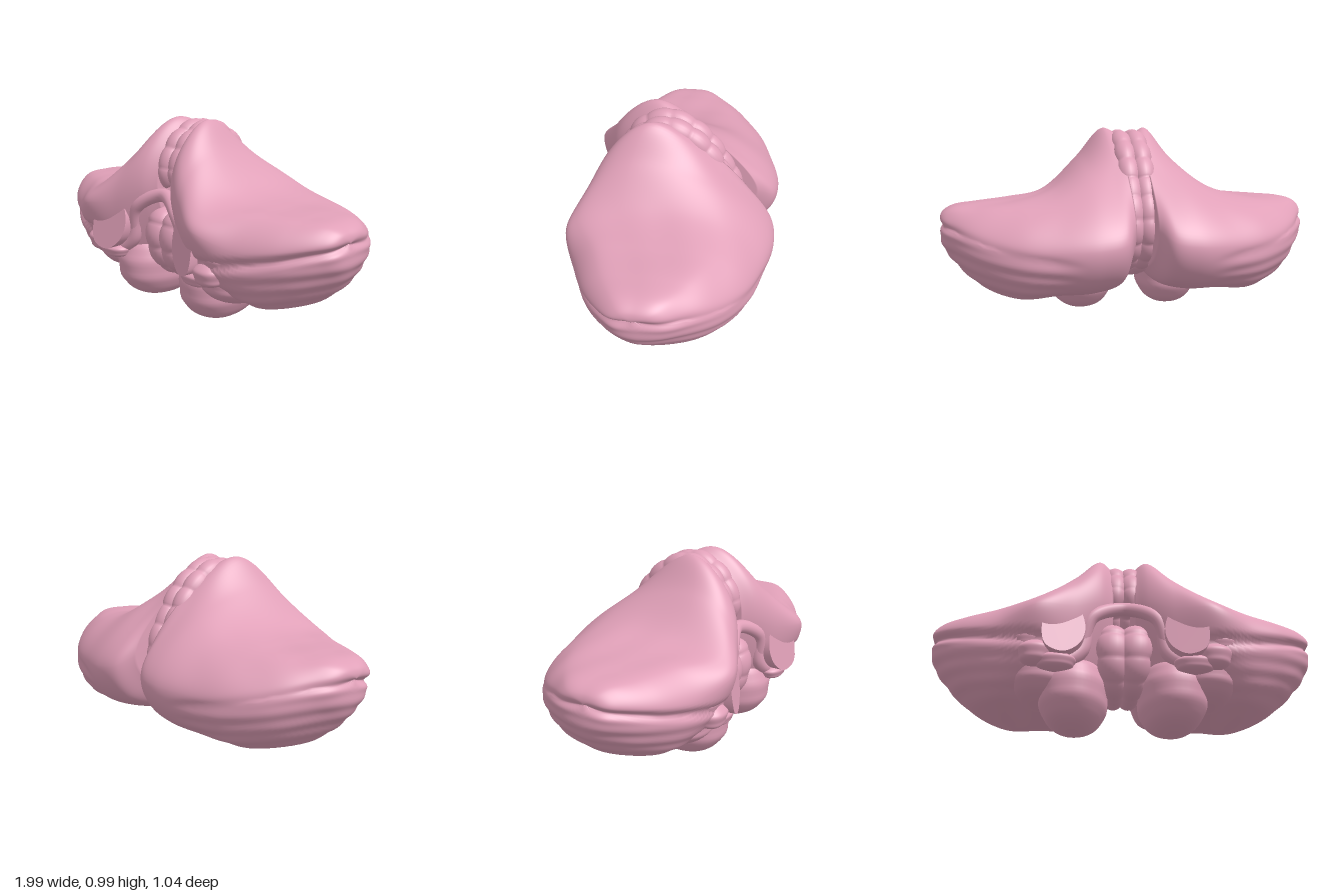
import * as THREE from 'three';
import { mergeVertices, toCreasedNormals } from 'three/addons/utils/BufferGeometryUtils.js';

const V = (x, y, z) => new THREE.Vector3(x, y, z);
const { smoothstep } = THREE.MathUtils;
const pink = new THREE.MeshStandardMaterial({ color: 0xe0a0b8 });

// Cross-sections of one hemisphere: x, then (z, y) pairs running
// top, upper back, back, lower back, bottom, lower front, front, upper front
const SECTIONS = [
  [0.055, 0.08, 0.97, -0.18, 0.81, -0.41, 0.52, -0.33, 0.36, -0.05, 0.25, 0.16, 0.28, 0.32, 0.64, 0.26, 0.84],
  [0.12, 0.13, 0.995, -0.20, 0.78, -0.505, 0.46, -0.42, 0.27, -0.08, 0.18, 0.20, 0.24, 0.38, 0.62, 0.32, 0.85],
  [0.25, 0.20, 0.84, -0.24, 0.725, -0.525, 0.44, -0.45, 0.25, -0.10, 0.14, 0.30, 0.20, 0.45, 0.56, 0.40, 0.73],
  [0.43, 0.20, 0.67, -0.26, 0.645, -0.49, 0.43, -0.41, 0.23, -0.05, 0.14, 0.36, 0.24, 0.515, 0.535, 0.45, 0.61],
  [0.62, 0.12, 0.625, -0.26, 0.60, -0.43, 0.42, -0.34, 0.21, 0.00, 0.12, 0.32, 0.20, 0.435, 0.47, 0.33, 0.60],
  [0.80, 0.08, 0.615, -0.17, 0.59, -0.32, 0.44, -0.24, 0.27, 0.02, 0.19, 0.25, 0.27, 0.345, 0.48, 0.25, 0.59],
  [0.93, 0.06, 0.60, -0.08, 0.58, -0.17, 0.47, -0.11, 0.37, 0.05, 0.31, 0.18, 0.37, 0.24, 0.50, 0.17, 0.585],
];

function hemisphereGeometry(side) {
  const RINGS = 80, AROUND = 144, tip = [0.07, 0.52];
  const last = SECTIONS[SECTIONS.length - 1];
  const shrink = (x, k) => [x, ...last.slice(1).map((v, i) => tip[i % 2] + (v - tip[i % 2]) * k)];
  const rows = [...SECTIONS, shrink(0.984, 0.6), shrink(1.003, 0.02)];
  const tracks = Array.from({ length: 8 }, (_, k) =>
    new THREE.CatmullRomCurve3(rows.map(r => V(r[0], r[2 + 2 * k], r[1 + 2 * k]))));
  const pos = [], index = [];
  for (let i = 0; i <= RINGS; i++) {
    const t = Math.max(0, i - 1) / (RINGS - 1);
    const ctrl = tracks.map(c => c.getPoint(t));
    const centre = ctrl.reduce((a, p) => a.add(p), V(0, 0, 0)).divideScalar(8);
    const ring = new THREE.CatmullRomCurve3(ctrl, true);
    for (let j = 0; j < AROUND; j++) {
      const p = i === 0 ? centre.clone() : ring.getPoint(j / AROUND);
      // Horizontal fissure, with fine folds below it and faint ones above
      const fissure = 0.505 - 0.55 * p.z * p.z;
      const fade = smoothstep(p.x, 0.3, 0.5);
      const depth = 0.008 + 0.025 * smoothstep(p.z, -0.3, 0.25);
      let d = -depth * fade * Math.exp(-(((p.y - fissure) / 0.022) ** 2));
      if (p.y < fissure) d += 0.003 * fade * Math.sin((p.y + 0.4 * p.z * p.z) * 80);
      else d += 0.002 * fade * Math.sin(p.z * 26 + p.x * 9);
      const out = V(0, p.y - centre.y, p.z - centre.z).normalize();
      out.x = 2 * smoothstep(p.x, 0.75, 1);
      p.addScaledVector(out.normalize(), d);
      pos.push(side * p.x, p.y, p.z);
    }
  }
  for (let i = 0; i < RINGS; i++) for (let j = 0; j < AROUND; j++) {
    const a = i * AROUND + j, c = i * AROUND + (j + 1) % AROUND, b = a + AROUND, d = c + AROUND;
    if (side > 0) index.push(a, b, c, c, b, d);
    else index.push(a, c, b, c, d, b);
  }
  const g = new THREE.BufferGeometry();
  g.setAttribute('position', new THREE.Float32BufferAttribute(pos, 3));
  g.setIndex(index);
  g.computeVertexNormals();
  return g;
}

// Weld seams so a reshaped geometry shades smoothly
function smooth(g) {
  g.deleteAttribute('normal');
  g.deleteAttribute('uv');
  const welded = mergeVertices(g);
  welded.computeVertexNormals();
  return welded;
}

// Slightly squared ellipsoid with shallow folds
function foldedLobe(rx, ry, rz, folds, depth) {
  const g = new THREE.SphereGeometry(1, 48, 36), p = g.attributes.position;
  const fuller = v => Math.sign(v) * Math.abs(v) ** 0.9;
  for (let i = 0; i < p.count; i++) {
    const y = p.getY(i), k = 1 + depth * Math.sin(folds * y) * (1 - y * y);
    p.setXYZ(i, fuller(p.getX(i)) * rx * k, fuller(y) * ry, fuller(p.getZ(i)) * rz * k);
  }
  return smooth(g);
}

// One half of the midline band: a tube along the loop, pinched into lobules
function vermisGeometry(loop, side) {
  const LENGTH = 260, AROUND = 24, LOBULES = 19;
  const g = new THREE.TubeGeometry(loop, LENGTH, 0.066, AROUND), p = g.attributes.position;
  for (let i = 0; i < p.count; i++) {
    const u = Math.floor(i / (AROUND + 1)) / LENGTH;
    const c = loop.getPointAt(u);
    const end = Math.max(0.02, Math.sqrt(Math.min(1, u * 20, (1 - u) * 20)));
    const k = end * (0.86 + 0.16 * Math.abs(Math.sin(Math.PI * LOBULES * u + 0.3 * Math.sin(9 * u))) ** 0.6);
    const wide = 0.9 + 0.4 * smoothstep(u, 0.72, 0.95);
    p.setXYZ(i, (side * 0.045 + p.getX(i) * k) * wide, c.y + (p.getY(i) - c.y) * k, c.z + (p.getZ(i) - c.z) * k);
  }
  return smooth(g);
}

// Cut stalk: prism whose front face leans back towards the midline and the top
function stalkGeometry(outline, side) {
  const curve = new THREE.CatmullRomCurve3(outline.map(([x, y]) => V(side * x, y, 0)), true);
  const shape = new THREE.Shape(curve.getPoints(48).slice(0, -1).map(p => new THREE.Vector2(p.x, p.y)));
  const g = new THREE.ExtrudeGeometry(shape, { depth: 0.25, bevelEnabled: false }), p = g.attributes.position;
  for (let i = 0; i < p.count; i++) {
    p.setZ(i, p.getZ(i) + 0.245 + 0.28 * (Math.abs(p.getX(i)) - 0.4) - 0.15 * (p.getY(i) - 0.42));
  }
  return toCreasedNormals(g, 0.7);
}

export function createModel() {
  const model = new THREE.Group();
  const add = (name, geometry, x = 0, y = 0, z = 0) => {
    const m = new THREE.Mesh(geometry, pink);
    m.name = name;
    m.position.set(x, y, z);
    model.add(m);
    return m;
  };

  // Midline loop as (z, y): down the front, reversed to run over the top, behind and underneath
  const loop = new THREE.CatmullRomCurve3([
    [0.28, 0.64], [0.25, 0.76], [0.18, 0.87], [0.06, 0.925], [-0.06, 0.875], [-0.15, 0.785], [-0.21, 0.69],
    [-0.26, 0.6], [-0.28, 0.5], [-0.23, 0.39], [-0.12, 0.31], [0.02, 0.26], [0.14, 0.235], [0.25, 0.25],
    [0.31, 0.35], [0.30, 0.46], [0.24, 0.54],
  ].map(([z, y]) => V(0, y, z)));

  for (const s of [1, -1]) {
    const tag = s > 0 ? 'left' : 'right';
    add(tag + 'Hemisphere', hemisphereGeometry(s));
    add(tag + 'Vermis', vermisGeometry(loop, s));

    // Rounded lower lobe beside the midline
    const tonsil = add(tag + 'Tonsil', foldedLobe(0.175, 0.195, 0.24, 14, 0.012), s * 0.25, 0.197, 0.16);
    tonsil.rotation.y = s * 0.12;

    // Bulge joining tonsil and hemisphere
    add(tag + 'BiventralLobe', foldedLobe(0.17, 0.125, 0.22, 14, 0.012), s * 0.42, 0.26, 0.18);

    const outline = [[0.24, 0.58], [0.31, 0.6], [0.375, 0.57], [0.4, 0.48], [0.385, 0.33], [0.3, 0.3], [0.22, 0.36], [0.195, 0.46]];
    add(tag + 'Peduncle', stalkGeometry(outline, s));

    // Thick collar around the lower half of the stalk
    const collar = outline.slice(3).map(([x, y]) => V(s * x, y, 0.41 + 0.28 * (x - 0.4)));
    add(tag + 'PeduncleCollar', new THREE.TubeGeometry(new THREE.CatmullRomCurve3(collar), 40, 0.042, 14));

    // Lumpy lobule hugging the outer and lower side of the stalk
    add(tag + 'Flocculus', foldedLobe(0.085, 0.065, 0.08, 6, 0.06), s * 0.435, 0.32, 0.4);
    add(tag + 'FlocculusStem', foldedLobe(0.1, 0.045, 0.07, 6, 0.05), s * 0.34, 0.28, 0.395);
    add(tag + 'FlocculusTip', foldedLobe(0.08, 0.05, 0.07, 6, 0.05), s * 0.47, 0.39, 0.385);
  }

  // Arched lip over the hollow between the stalks
  const arch = [[-0.21, 0.4, 0.36], [-0.16, 0.54, 0.375], [0, 0.615, 0.325], [0.16, 0.54, 0.375], [0.21, 0.4, 0.36]];
  add('ventricleRoof', new THREE.TubeGeometry(new THREE.CatmullRomCurve3(arch.map(a => V(...a))), 48, 0.035, 16));

  return model;
}
